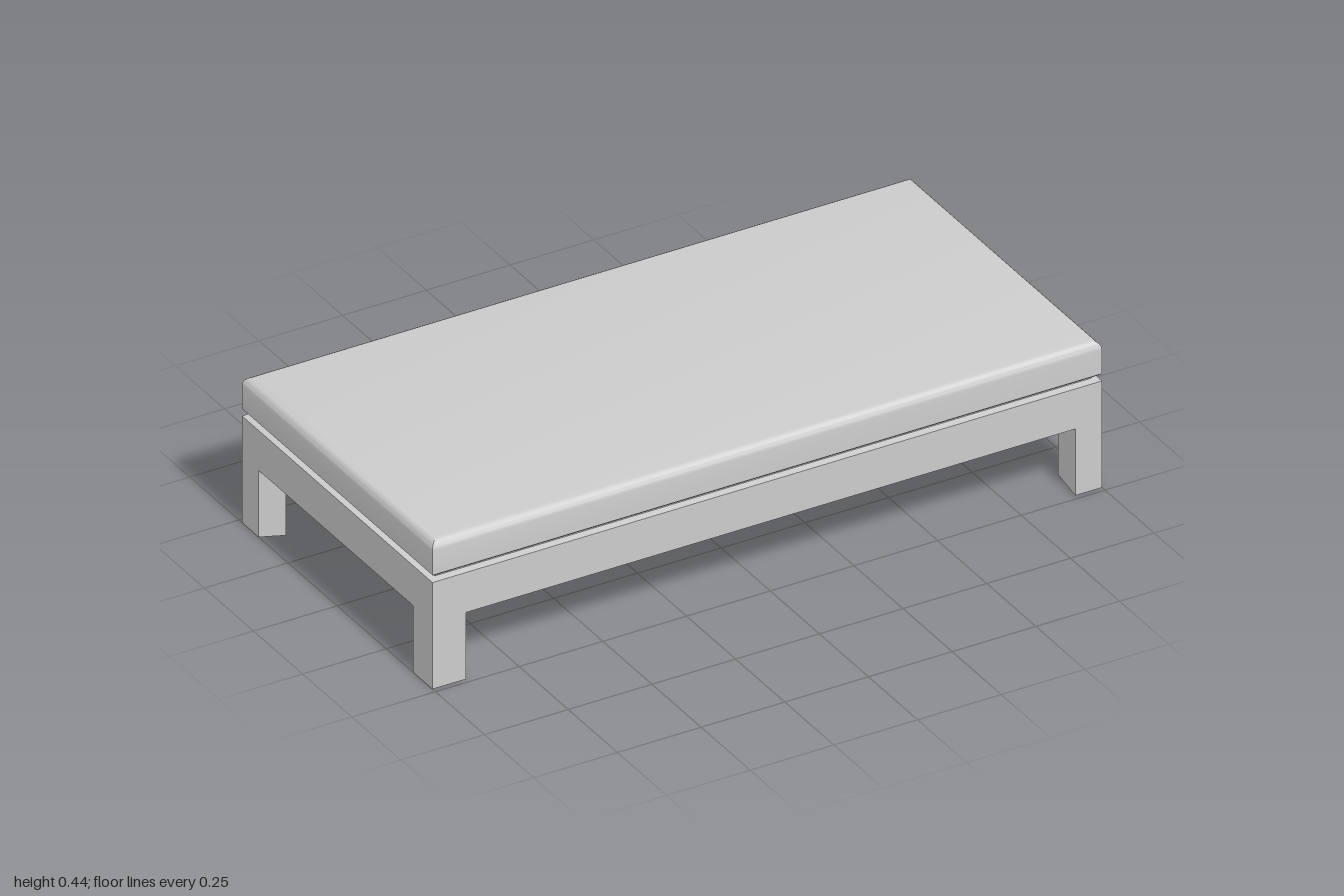
import * as THREE from 'three';
import { toCreasedNormals } from 'three/addons/utils/BufferGeometryUtils.js';

const HALF_X = 1, HALF_Z = 0.485;
const material = new THREE.MeshStandardMaterial({ color: 0xcccccc, side: THREE.DoubleSide });

// Rectangular shell with mitred corners, swept from [inset, y] points running upwards
function rectShell(profile, capTop) {
  const ring = ([i, y]) => [[-1, 1], [1, 1], [1, -1], [-1, -1]]
    .map(([sx, sz]) => [sx * (HALF_X - i), y, sz * (HALF_Z - i)]);
  const rings = profile.map(ring);
  const pos = [];
  for (let r = 0; r < rings.length - 1; r++) {
    for (let k = 0; k < 4; k++) {
      const n = (k + 1) % 4;
      const a = rings[r][k], b = rings[r][n], c = rings[r + 1][k], d = rings[r + 1][n];
      pos.push(...a, ...b, ...d, ...a, ...d, ...c);
    }
  }
  if (capTop) {
    const [a, b, c, d] = rings[rings.length - 1];
    pos.push(...a, ...b, ...c, ...a, ...c, ...d);
  }
  const geometry = new THREE.BufferGeometry();
  geometry.setAttribute('position', new THREE.Float32BufferAttribute(pos, 3));
  return toCreasedNormals(geometry, 0.6);
}

export function createModel() {
  const group = new THREE.Group();
  const add = (name, geometry) => {
    const mesh = new THREE.Mesh(geometry, material);
    mesh.name = name;
    group.add(mesh);
  };

  // Hollow apron frame with an inward flange below and a small chamfer on top
  add('apronFrame', rectShell([[0.09, 0.2], [0, 0.2], [0, 0.32], [0.02, 0.324]], false));

  // Recessed shadow gap between frame and cushion
  add('shadowGap', rectShell([[0.02, 0.324], [0.02, 0.334]], false));

  // Cushion, open underneath, with a rounded top edge
  const cushion = [[0.02, 0.334], [0.006, 0.336], [0, 0.342]];
  const radius = 0.026, steps = 5;
  for (let s = 0; s <= steps; s++) {
    const t = (s / steps) * Math.PI / 2;
    cushion.push([radius * (1 - Math.cos(t)), 0.44 - radius + radius * Math.sin(t)]);
  }
  add('cushion', rectShell(cushion, true));

  // Legs: slightly skewed quads in plan, opposite corners alike
  for (const [name, sx, sz] of [
    ['frontLeftLeg', 1, 1], ['frontRightLeg', -1, 1],
    ['backLeftLeg', 1, -1], ['backRightLeg', -1, -1],
  ]) {
    const w = sx === sz ? 0.08 : 0.1;
    const d = sx === sz ? 0.085 : 0.098;
    const plan = [[0, 0], [w, 0], [w - 0.015, d + 0.028], [0, d]]
      .map(([x, z]) => new THREE.Vector2(sx * (HALF_X - x), -sz * (HALF_Z - z)));
    const leg = new THREE.ExtrudeGeometry(new THREE.Shape(plan), { depth: 0.2, bevelEnabled: false });
    add(name, leg.rotateX(-Math.PI / 2));
  }
  return group;
}
